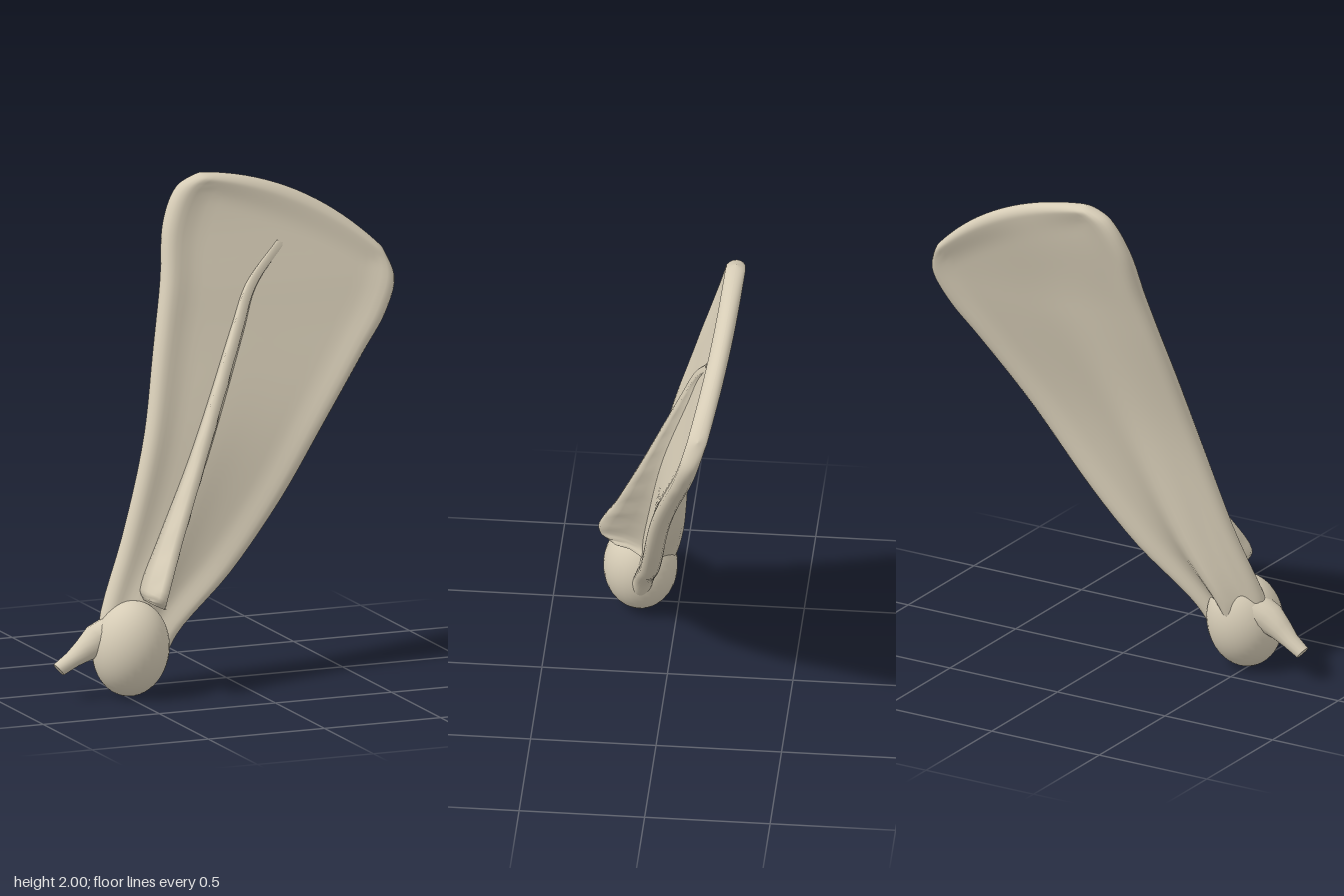
import * as THREE from 'three';

const V = (x, y, z = 0) => new THREE.Vector3(x, y, z);

// Skin a list of equal-length rings (rows advance upwards, rings run x towards z) and cap both ends.
function loft(rings) {
  const n = rings[0].length, pos = [], index = [];
  rings.forEach(r => r.forEach(p => pos.push(p.x, p.y, p.z)));
  for (let i = 0; i < rings.length - 1; i++) {
    for (let j = 0; j < n; j++) {
      const a = i * n + j, b = i * n + (j + 1) % n;
      index.push(a, a + n, b, b, a + n, b + n);
    }
  }
  [rings[0], rings[rings.length - 1]].forEach((ring, end) => {
    const start = pos.length / 3, mid = V(0, 0, 0);
    ring.forEach(p => { pos.push(p.x, p.y, p.z); mid.addScaledVector(p, 1 / n); });
    pos.push(mid.x, mid.y, mid.z);
    for (let j = 0; j < n; j++) {
      const a = start + j, b = start + (j + 1) % n;
      if (end) index.push(a, start + n, b); else index.push(a, b, start + n);
    }
  });
  const g = new THREE.BufferGeometry();
  g.setAttribute('position', new THREE.Float32BufferAttribute(pos, 3));
  g.setIndex(index);
  g.computeVertexNormals();
  return g;
}

// Backward lean of the blade's middle surface, by height
const lean = new THREE.SplineCurve([[0, .16], [.5, .07], [1, -.01], [1.5, -.145], [2, -.275]]
  .map(p => new THREE.Vector2(...p)));
const leanZ = y => lean.getPoint(THREE.MathUtils.clamp(y / 2, 0, 1)).y;
const round = k => Math.sqrt(1 - (1 - Math.min(k, 1)) ** 2);

// Flat fan-shaped blade with a rounded rim, shallow hollows and a thick bar behind its lower part
function bladeGeometry() {
  const left = new THREE.CatmullRomCurve3([[-.6, .2], [-.59, .31], [-.47, .62], [-.35, 1], [-.28, 1.3],
    [-.21, 1.6], [-.17, 1.82], [-.1, 1.95], [0, 2]].map(p => V(...p)));
  const right = new THREE.CatmullRomCurve3([[-.33, .14], [-.26, .24], [-.02, .45], [.2, .7], [.42, 1],
    [.62, 1.26], [.73, 1.4], [.785, 1.53], [.75, 1.65]].map(p => V(...p)));
  const rings = [], rows = 56, n = 56;
  for (let i = 0; i <= rows; i++) {
    const t = Math.sin(i / rows * Math.PI / 2);
    const L = left.getPoint(t), R = right.getPoint(t), half = L.distanceTo(R) / 2;
    const tip = (1 - t) * 0.9, ring = [];
    for (let j = 0; j < n; j++) {
      const a = j / n * Math.PI * 2, u = Math.cos(a), front = Math.sin(a) > 0;
      const p = L.clone().lerp(R, (u + 1) / 2);
      const bulge = 0.08 * t ** 3 * (1 - u * u);
      p.x += bulge * 0.43;
      p.y += bulge * 0.9;
      const edge = (1 - Math.abs(u)) * half;
      const inner = THREE.MathUtils.smoothstep(Math.min(edge, tip), 0.03, 0.14);
      let h = 0.041 * round(edge / 0.045) * round(tip / 0.045) - 0.016 * inner;
      const bar = Math.exp(-(((u + 0.25) / 0.38) ** 2)) * inner;
      const low = 1 - THREE.MathUtils.smoothstep(t, 0.1, 0.75);
      h += front ? 0.03 * bar * low * low : bar * (0.08 * low + 0.012);
      p.z = leanZ(p.y) + (Math.abs(Math.sin(a)) < 1e-6 ? 0 : front ? h : -h);
      ring.push(p);
    }
    rings.push(ring);
  }
  return loft(rings);
}

// Raised spine: steep on one side, flared on the other, fading out towards the tip
function spineGeometry() {
  const crest = new THREE.CatmullRomCurve3([[-.39, .37, .26], [-.4, .41, .31], [-.31, .6, .235],
    [-.18, .86, .135], [-.04, 1.15, .03], [.08, 1.4, -.06], [.16, 1.56, -.118], [.31, 1.71, -.18]]
    .map(p => V(...p)));
  const rings = [], rows = 40;
  for (let i = 0; i <= rows; i++) {
    const t = i / rows, c = crest.getPoint(t);
    const base = leanZ(c.y) + 0.01, h = Math.max(c.z - base, 0.005);
    const k = 1 - 0.45 * t, wob = 0.006 * Math.sin(i * 1.9) * (1 - t);
    // Across the spine (right positive), and height as a share of the crest
    const section = [[.12 * k, -.05], [.075 * k, .2], [.045 * k, .5], [.032 * k + wob, .82], [.018, .97],
      [0, 1], [-.02 * k, .96], [-.03 * k + wob, .8], [-.026 * k, .45], [-.035 * k, -.05]];
    rings.push(section.map(([u, w]) => V(c.x + u * 0.9, c.y - u * 0.44, base + h * w)));
  }
  return loft(rings);
}

// Short tapering hook with a blunt end
function hookGeometry() {
  const rows = [[-.52, .25, .12, .09, .08], [-.6, .235, .12, .068, .065], [-.66, .195, .12, .048, .05],
    [-.71, .16, .112, .034, .038], [-.768, .122, .108, .029, .03]];
  const d = V(-0.77, -0.64), side = V(d.y, -d.x);
  return loft(rows.map(([x, y, z, ru, rz]) => Array.from({ length: 14 }, (_, j) => {
    const a = j / 14 * Math.PI * 2;
    return V(x, y, z + Math.sin(a) * rz).addScaledVector(side, Math.cos(a) * ru);
  })));
}

export function createModel() {
  const group = new THREE.Group();
  const bone = new THREE.MeshStandardMaterial({ color: 0xd6ccb6 });
  bone.name = 'bone';
  const add = (name, geometry) => {
    const mesh = new THREE.Mesh(geometry, bone);
    mesh.name = name;
    group.add(mesh);
    return mesh;
  };
  add('blade', bladeGeometry());
  add('spine', spineGeometry());
  add('hook', hookGeometry());
  // Rounded joint at the foot
  const joint = add('jointHead', new THREE.SphereGeometry(1, 32, 24));
  joint.scale.set(0.155, 0.192, 0.148);
  joint.position.set(-0.475, 0.193, 0.15);
  joint.rotation.z = -0.12;
  return group;
}
